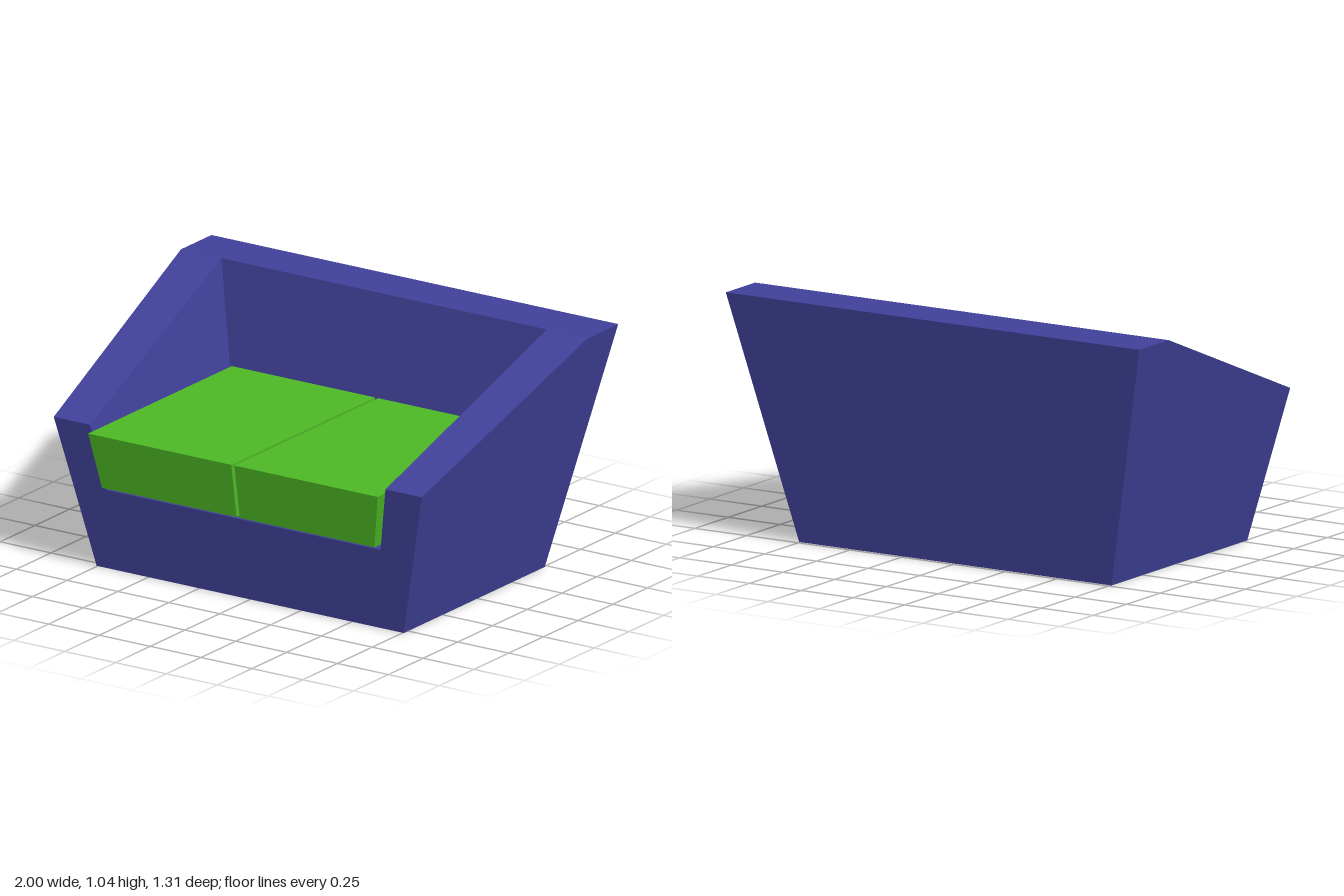
import * as THREE from 'three';

const blue = new THREE.MeshStandardMaterial({ color: 0x40409a, flatShading: true });
const green = new THREE.MeshStandardMaterial({ color: 0x4cb824, flatShading: true });

// Flat-faced solid from polygons, each with counter-clockwise corners
function fromPolygons(polygons) {
  const positions = [];
  for (const p of polygons)
    for (let i = 1; i < p.length - 1; i++) positions.push(...p[0], ...p[i], ...p[i + 1]);
  const geometry = new THREE.BufferGeometry();
  geometry.setAttribute('position', new THREE.Float32BufferAttribute(positions, 3));
  geometry.computeVertexNormals();
  return geometry;
}

// Sloping faces of the shell, as functions of height
const outerX = (y) => 0.755 + 0.2356 * y;
const innerX = (y) => 0.675 + 0.1825 * (y - 0.355);
const frontZ = (y) => 0.53 + 0.1417 * y;
const backZ = (y) => -0.485 - 0.1635 * y;

function createShell() {
  const top = 1.04, armFront = 0.635, seat = 0.355, backrestZ = -0.435;
  const corners = {
    baseFront: [outerX(0), 0, frontZ(0)],
    baseBack: [outerX(0), 0, backZ(0)],
    topBack: [outerX(top), top, backZ(top)],
    topFront: [outerX(top), top, backrestZ],
    armOuter: [outerX(armFront), armFront, frontZ(armFront)],
    armInner: [innerX(armFront), armFront, frontZ(armFront)],
    seatFront: [innerX(seat), seat, frontZ(seat)],
    seatBack: [innerX(seat), seat, -0.347],
    topInner: [innerX(top), top, backrestZ],
  };
  const mirror = ([x, y, z]) => [-x, y, z];
  const c = corners;
  // Arm faces on the left, then mirrored to the right
  const arm = [
    [c.baseFront, c.baseBack, c.topBack, c.topFront, c.armOuter],
    [c.armOuter, c.topFront, c.topInner, c.armInner],
    [c.seatFront, c.armInner, c.topInner, c.seatBack],
    [c.baseFront, c.armOuter, c.armInner, c.seatFront],
  ];
  const mirrored = arm.map((p) => p.map(mirror).reverse());
  // Faces running across: front, seat, backrest, top, back, underside
  const across = [
    [c.baseFront, c.seatFront],
    [c.seatFront, c.seatBack],
    [c.seatBack, c.topInner],
    [c.topFront, c.topBack],
    [c.topBack, c.baseBack],
    [c.baseBack, c.baseFront],
  ].map(([a, b]) => [mirror(a), a, b, mirror(b)]);
  const shell = new THREE.Mesh(fromPolygons([...arm, ...mirrored, ...across]), blue);
  shell.name = 'sofaShell';
  return shell;
}

// Cushion: a box whose outer, front and back sides lean outwards
function createCushion(side) {
  const geometry = new THREE.BoxGeometry(1, 1, 1);
  const p = geometry.attributes.position;
  for (let i = 0; i < p.count; i++) {
    const up = p.getY(i) > 0;
    const outer = p.getX(i) * side > 0;
    const x = outer ? (up ? 0.712 : 0.67) : 0.008;
    const z = p.getZ(i) > 0 ? (up ? 0.655 : 0.617) : (up ? -0.38 : -0.347);
    p.setXYZ(i, side * x, up ? 0.61 : 0.375, z);
  }
  geometry.computeVertexNormals();
  const cushion = new THREE.Mesh(geometry, green);
  cushion.name = side > 0 ? 'leftCushion' : 'rightCushion';
  return cushion;
}

export function createModel() {
  const sofa = new THREE.Group();
  sofa.name = 'sofa';
  sofa.add(createShell(), createCushion(1), createCushion(-1));
  return sofa;
}
